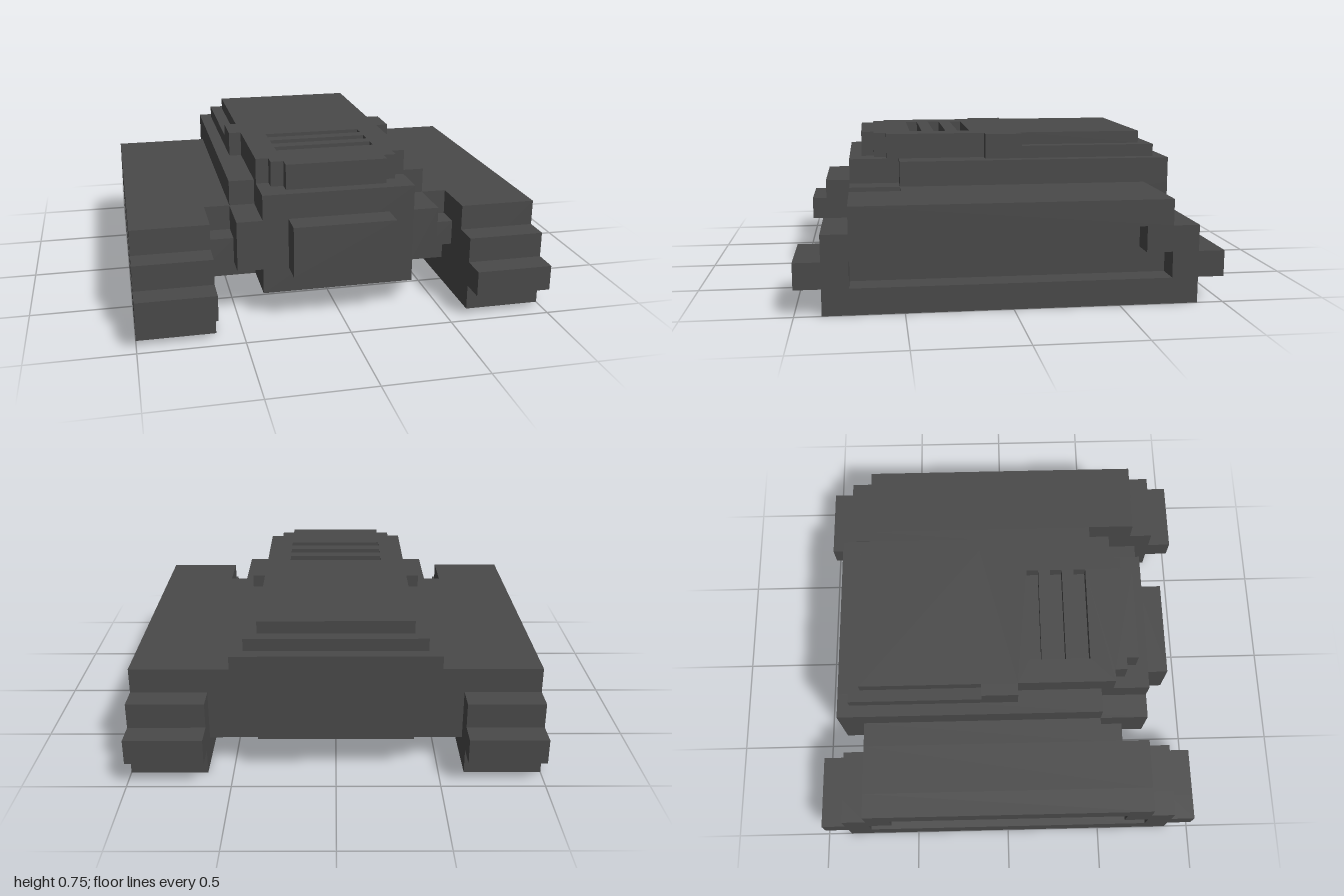
import * as THREE from 'three';

const charcoal = new THREE.MeshStandardMaterial({ color: 0x4a4a4a });
charcoal.name = 'charcoal';

function box(parent, name, x0, x1, y0, y1, z0, z1) {
  const mesh = new THREE.Mesh(new THREE.BoxGeometry(x1 - x0, y1 - y0, z1 - z0), charcoal);
  mesh.position.set((x0 + x1) / 2, (y0 + y1) / 2, (z0 + z1) / 2);
  mesh.name = name;
  parent.add(mesh);
}

// Outline mirrored across the first axis; half is listed from bottom to top
function mirroredPoints(half) {
  const left = half.map(([a, b]) => [-a, b]).reverse();
  return [...half, ...left].map(([a, b]) => new THREE.Vector2(a, b));
}

function extrude(parent, name, half, depth, holes = []) {
  const shape = new THREE.Shape(mirroredPoints(half));
  for (const hole of holes) shape.holes.push(new THREE.Path(mirroredPoints(hole)));
  const mesh = new THREE.Mesh(new THREE.ExtrudeGeometry(shape, { depth, bevelEnabled: false }), charcoal);
  mesh.name = name;
  parent.add(mesh);
  return mesh;
}

// Stepped track with a recessed outer side
function makeTrack(name) {
  const track = new THREE.Group();
  track.name = name;
  const profile = [[0.875, 0], [0.875, 0.125], [1, 0.125], [1, 0.25],
    [0.875, 0.25], [0.875, 0.375], [0.75, 0.375], [0.75, 0.5]];
  const recess = [[0.75, 0.125], [0.75, 0.25], [0.625, 0.25], [0.625, 0.375]];
  const inner = extrude(track, 'trackBody', profile, 0.25);
  const outer = extrude(track, 'trackOuterRim', profile, 0.125, [recess]);
  inner.rotation.y = outer.rotation.y = Math.PI / 2;
  inner.position.x = 0.625;
  outer.position.x = 0.875;
  return track;
}

function makeHull() {
  const hull = new THREE.Group();
  hull.name = 'hull';
  box(hull, 'hullCore', -0.375, 0.375, 0.125, 0.625, -0.75, 0.75);
  box(hull, 'rearPanel', -0.375, 0.375, 0.1875, 0.625, -0.875, -0.75);
  box(hull, 'frontPlate', -0.25, 0.25, 0.25, 0.5, 0.75, 0.875);
  for (const s of [-1, 1]) {
    const side = (name, a, b, ...rest) =>
      box(hull, name, Math.min(s * a, s * b), Math.max(s * a, s * b), ...rest);
    // Hull sides, stepped back at the top and bottom corners
    side('hullSideLower', 0.375, 0.5, 0.125, 0.25, -0.75, 0.5);
    side('hullSideMiddle', 0.375, 0.5, 0.25, 0.5, -0.875, 0.75);
    side('hullSideUpper', 0.375, 0.5, 0.5, 0.625, -0.875, 0.5);
    // Links between hull and track
    side('trackLinkLower', 0.5, 0.625, 0.125, 0.25, -0.75, 0.5);
    side('trackLinkMiddle', 0.5, 0.625, 0.25, 0.375, -0.75, 0.625);
    side('trackLinkUpper', 0.5, 0.625, 0.375, 0.5, -0.75, 0.5);
  }
  return hull;
}

// Two-layer deck with a stepped nose and three vent slots
function makeDeck() {
  const deck = new THREE.Group();
  deck.name = 'upperDeck';
  const nose = [[0.25, -0.6875], [0.25, -0.625], [0.3125, -0.625], [0.3125, -0.5625],
    [0.375, -0.5625], [0.375, -0.0625], [0.4375, -0.0625]];
  const slots = [0.125, 0.25, 0.375].map((z) => [[0.25, -z - 0.0625], [0.25, -z]]);
  const lower = extrude(deck, 'deckBase', [...nose, [0.4375, 0.8125]], 0.0625);
  const upper = extrude(deck, 'deckTop',
    [...nose, [0.4375, 0.125], [0.375, 0.125], [0.375, 0.75]], 0.0625, slots);
  lower.rotation.x = upper.rotation.x = -Math.PI / 2;
  lower.position.y = 0.625;
  upper.position.y = 0.6875;
  return deck;
}

export function createModel() {
  const model = new THREE.Group();
  model.name = 'trackedVehicleBody';
  const rightTrack = makeTrack('rightTrack');
  rightTrack.rotation.y = Math.PI;
  model.add(makeHull(), makeDeck(), makeTrack('leftTrack'), rightTrack);
  return model;
}
